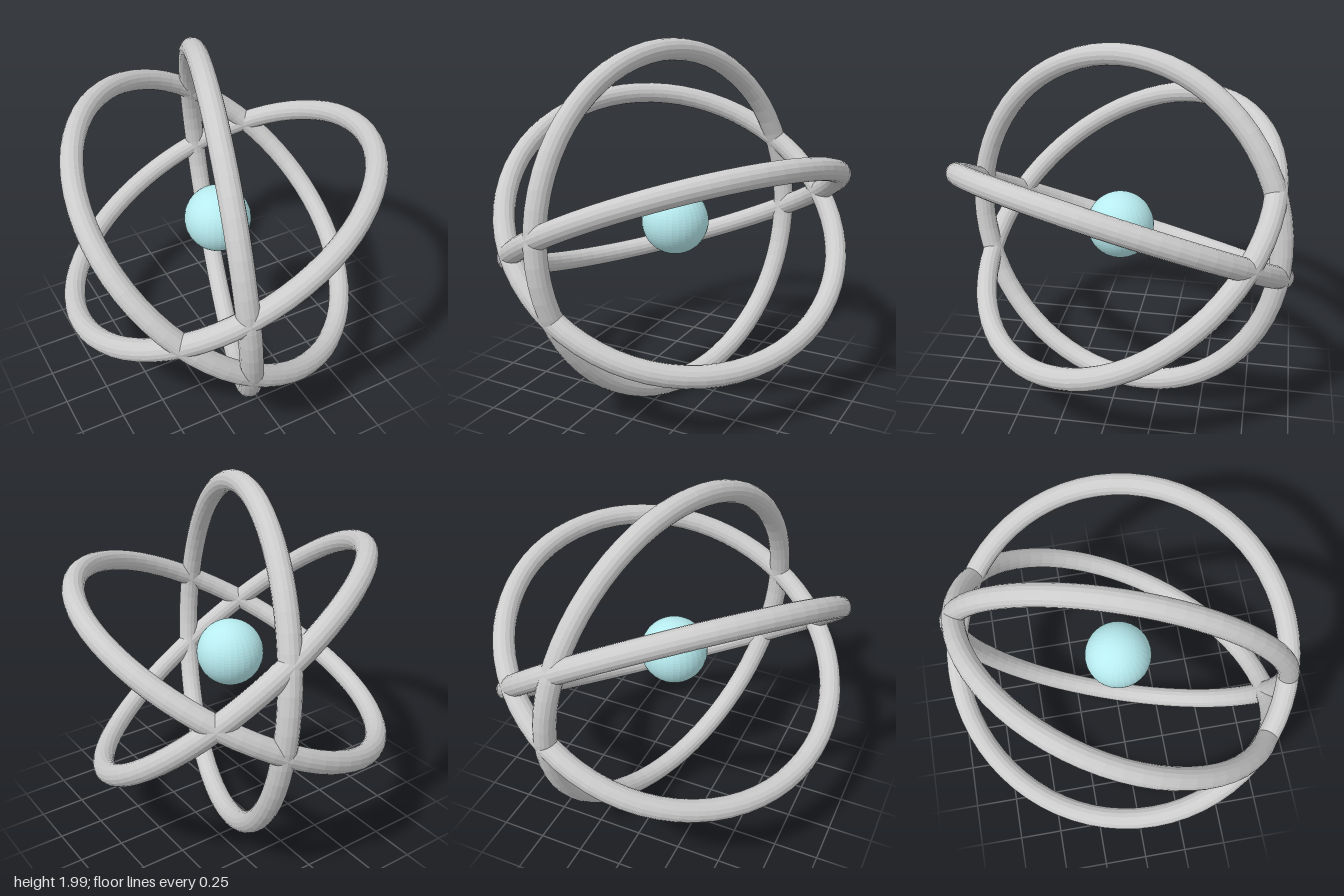
import * as THREE from 'three';

const CENTRE_Y = 1;
const RING_RADIUS = 0.94;
const TUBE_RADIUS = 0.06;

// Axis of each ring: the direction perpendicular to its plane
const RING_AXES = {
  uprightRing: [0.944, 0.085, 0.32],
  shallowRing: [-0.404, 0.884, -0.237],
  steepRing: [0.465, 0.761, 0.45],
};

export function createModel() {
  const model = new THREE.Group();
  model.name = 'orbitalSphere';

  const grey = new THREE.MeshStandardMaterial({ color: 0xcccccc, flatShading: true });
  const paleBlue = new THREE.MeshStandardMaterial({ color: 0xb8ecf0, flatShading: true });

  // Three equal rings crossing one another around the centre
  const ringGeometry = new THREE.TorusGeometry(RING_RADIUS, TUBE_RADIUS, 16, 64);
  const torusAxis = new THREE.Vector3(0, 0, 1);
  for (const [name, axis] of Object.entries(RING_AXES)) {
    const ring = new THREE.Mesh(ringGeometry, grey);
    ring.name = name;
    ring.position.y = CENTRE_Y;
    ring.quaternion.setFromUnitVectors(torusAxis, new THREE.Vector3(...axis).normalize());
    model.add(ring);
  }

  // Floating core
  const core = new THREE.Mesh(new THREE.SphereGeometry(0.187, 32, 32), paleBlue);
  core.name = 'core';
  core.position.y = CENTRE_Y;
  model.add(core);

  return model;
}
